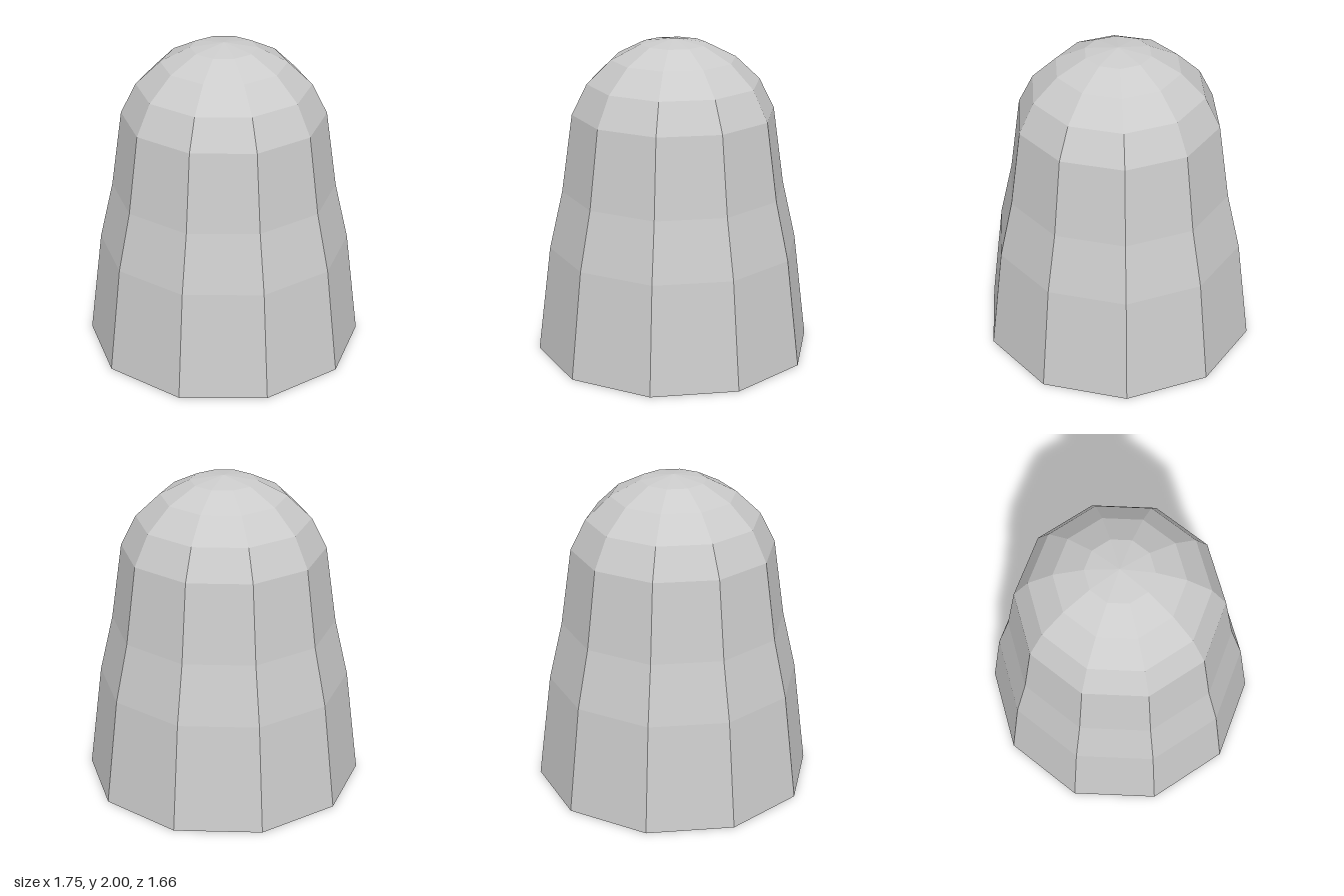
import * as THREE from 'three';

export function createModel() {
  const group = new THREE.Group();
  group.name = 'domedCover';
  const material = new THREE.MeshStandardMaterial({
    color: 0xcccccc, flatShading: true, side: THREE.DoubleSide,
  });

  // Ten-sided shell, one corner on the x axis
  const addShell = (name, profile) => {
    const points = profile.map(([r, y]) => new THREE.Vector2(r, y));
    const mesh = new THREE.Mesh(new THREE.LatheGeometry(points, 10, Math.PI / 2), material);
    mesh.name = name;
    group.add(mesh);
  };

  // Flaring wall, open at the bottom
  addShell('wall', [[0.875, 0], [0.79, 0.68], [0.705, 1.05], [0.635, 1.54]]);
  // Rounded cap
  addShell('dome', [[0.635, 1.54], [0.54, 1.73], [0.388, 1.875], [0.205, 1.968], [0, 2]]);

  return group;
}
